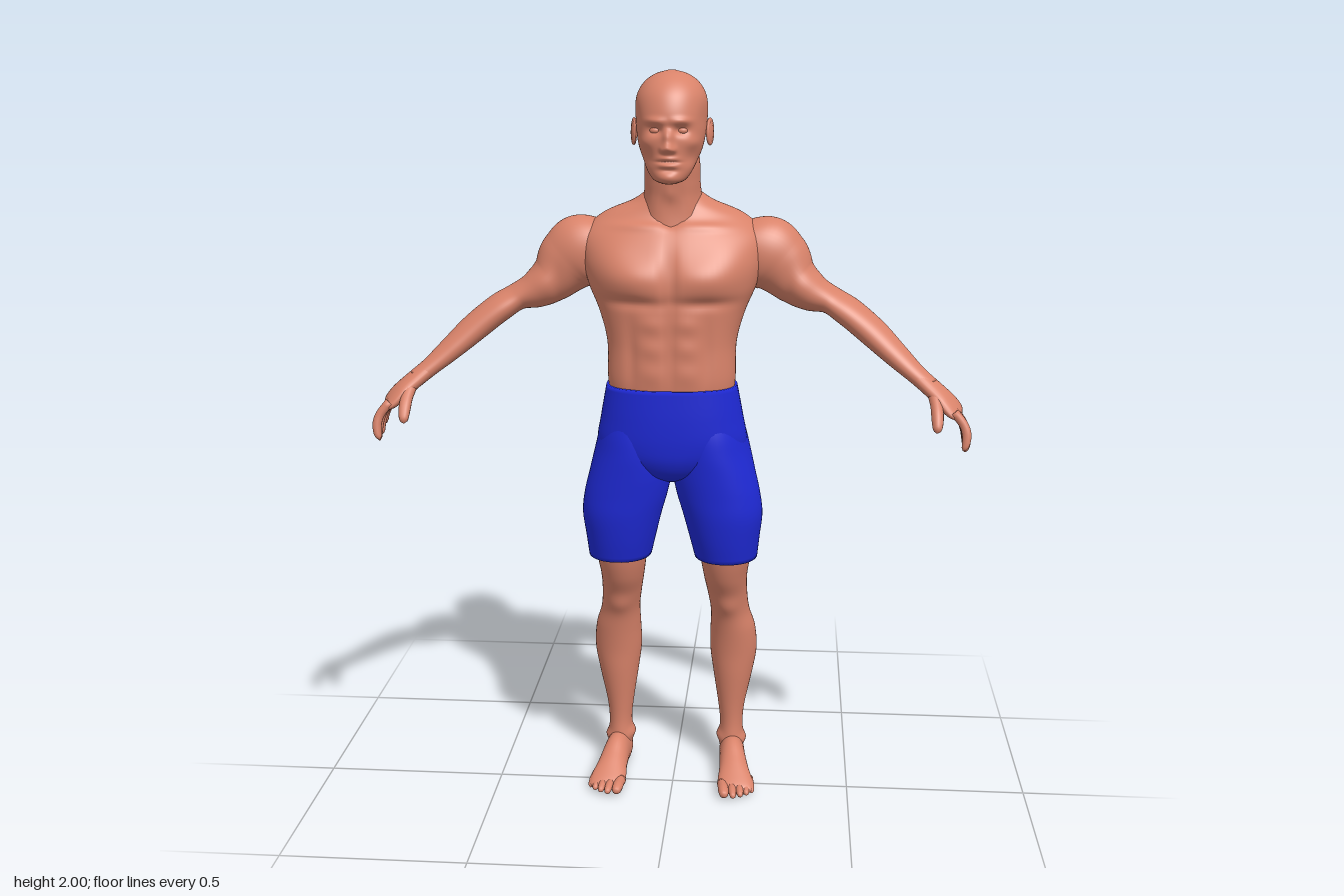
import * as THREE from 'three';

const skin = new THREE.MeshStandardMaterial({ color: 0xd9836a });
const cloth = new THREE.MeshStandardMaterial({ color: 0x1f2ad8 });
const X = new THREE.Vector3(1, 0, 0), Y = new THREE.Vector3(0, 1, 0), Z = new THREE.Vector3(0, 0, 1);

// Smooth skin over oval sections [x, y, z, radiusU, radiusV, power]; U follows ref, V is across it.
// With an axis the sections stay parallel, otherwise they turn with the path.
function loft(rows, { ref = Y, axis = null, steps = 40, sides = 32 } = {}) {
  const curve = (f) => new THREE.CatmullRomCurve3(rows.map(f), false, 'catmullrom', 0.5);
  const path = curve((r) => new THREE.Vector3(r[0], r[1], r[2]));
  const size = curve((r) => new THREE.Vector3(r[3], r[4], r[5] ?? 2));
  const pos = [], index = [];
  for (let i = 0; i <= steps; i++) {
    const t = i / steps, p = path.getPoint(t), s = size.getPoint(t);
    const T = axis ?? path.getTangent(t);
    const U = ref.clone().addScaledVector(T, -ref.dot(T)).normalize();
    const V = T.clone().cross(U);
    for (let j = 0; j < sides; j++) {
      const a = (j / sides) * Math.PI * 2, c = Math.cos(a), d = Math.sin(a);
      const round = (v) => Math.sign(v) * Math.abs(v) ** (2 / s.z);
      const q = p.clone().addScaledVector(U, s.x * round(c)).addScaledVector(V, s.y * round(d));
      pos.push(q.x, q.y, q.z);
      if (i < steps) {
        const k = i * sides + j, n = i * sides + (j + 1) % sides;
        index.push(k, n, k + sides, n, n + sides, k + sides);
      }
    }
  }
  // close both ends
  const first = pos.length / 3, last = steps * sides;
  for (const e of [path.getPoint(0), path.getPoint(1)]) pos.push(e.x, e.y, e.z);
  for (let j = 0; j < sides; j++) {
    const n = (j + 1) % sides;
    index.push(first, n, j, first + 1, last + j, last + n);
  }
  const geo = new THREE.BufferGeometry();
  geo.setAttribute('position', new THREE.Float32BufferAttribute(pos, 3));
  geo.setIndex(index);
  geo.computeVertexNormals();
  return geo;
}

// Upright loft from rows [y, x, front z, back z, half width, power], lowest first
const upright = (rows, opts) => loft(
  rows.map(([y, x, f, b, w, p]) => [x, y, (f + b) / 2, w, (f - b) / 2, p]), { ref: X, axis: Y, ...opts });

// Push vertices along their normals with soft bumps [x, y, z, radiusX, radiusY, amount], same on both sides
function sculpt(geo, bumps) {
  const p = geo.attributes.position, n = geo.attributes.normal;
  for (let i = 0; i < p.count; i++) {
    let push = 0;
    for (const [x, y, z, rx, ry, amount] of bumps) {
      const dx = (Math.abs(p.getX(i)) - x) / rx, dy = (p.getY(i) - y) / ry, dz = (p.getZ(i) - z) / Math.max(rx, ry, 0.05);
      push += amount * Math.exp(-dx * dx - dy * dy - dz * dz);
    }
    p.setXYZ(i, p.getX(i) + n.getX(i) * push, p.getY(i) + n.getY(i) * push, p.getZ(i) + n.getZ(i) * push);
  }
  geo.computeVertexNormals();
  return geo;
}

function mirror(geo) {
  const g = geo.clone().scale(-1, 1, 1), ix = g.index.array;
  for (let i = 0; i < ix.length; i += 3) [ix[i], ix[i + 1]] = [ix[i + 1], ix[i]];
  g.computeVertexNormals();
  return g;
}

// Finger or toe: a tapering path with a rounded tip
function digit(points, r) {
  const [a, b, c] = points.map((q) => new THREE.Vector3(...q));
  const path = new THREE.QuadraticBezierCurve3(a, b.clone().multiplyScalar(2).addScaledVector(a, -0.5).addScaledVector(c, -0.5), c);
  const rows = [[0, 1], [0.3, 0.95], [0.55, 0.98], [0.8, 0.85], [0.93, 0.62], [1, 0.12]].map(([t, k]) => {
    const q = path.getPoint(t);
    return [q.x, q.y, q.z, r * k, r * k];
  });
  return loft(rows, { ref: new THREE.Vector3(0.8, 0.5, 0.1), steps: 16, sides: 12 });
}

export function createModel() {
  const model = new THREE.Group();
  const add = (name, geo, mat = skin) => {
    const m = new THREE.Mesh(geo, mat);
    m.name = name;
    model.add(m);
  };
  const pair = (name, geo, mat) => {
    add('left' + name, geo, mat);
    add('right' + name, mirror(geo), mat);
  };

  // Torso with chest, stomach, shoulder blades and spine
  add('torso', sculpt(upright([
    [1.12, 0, 0.125, -0.08, 0.16, 2.3], [1.2, 0, 0.138, -0.083, 0.17, 2.4], [1.3, 0, 0.14, -0.1, 0.172, 2.4],
    [1.38, 0, 0.142, -0.13, 0.193, 2.4], [1.45, 0, 0.145, -0.148, 0.222, 2.3], [1.52, 0, 0.132, -0.152, 0.24, 2.2],
    [1.58, 0, 0.102, -0.148, 0.24, 2.1], [1.63, 0, 0.062, -0.128, 0.19, 2], [1.665, 0, 0.05, -0.105, 0.11, 2],
    [1.7, 0, 0.04, -0.07, 0.06, 2]], { steps: 90, sides: 96 }), [
    [0.09, 1.475, 0.13, 0.08, 0.045, 0.02], [0.15, 1.52, 0.1, 0.06, 0.05, 0.008], [0.09, 1.415, 0.14, 0.08, 0.016, -0.009],
    [0, 1.48, 0.14, 0.014, 0.07, -0.012], [0, 1.3, 0.14, 0.01, 0.12, -0.006],
    [0.045, 1.36, 0.14, 0.03, 0.022, 0.005], [0.045, 1.295, 0.14, 0.03, 0.024, 0.005], [0.045, 1.23, 0.14, 0.03, 0.026, 0.004],
    [0.1, 1.28, 0.12, 0.016, 0.1, -0.006], [0.08, 1.605, 0.07, 0.07, 0.01, 0.006], [0, 1.625, 0.06, 0.02, 0.02, -0.012],
    [0, 1.4, -0.13, 0.022, 0.2, -0.016], [0.11, 1.52, -0.14, 0.06, 0.06, 0.015], [0.14, 1.42, -0.11, 0.05, 0.07, 0.008],
    [0.05, 1.25, -0.09, 0.03, 0.08, 0.007], [0.1, 1.62, -0.06, 0.05, 0.03, 0.008]]));

  // Neck
  add('neck', sculpt(upright([
    [1.58, 0, 0.075, -0.12, 0.1], [1.64, 0, 0.068, -0.112, 0.088], [1.68, 0, 0.07, -0.09, 0.077],
    [1.72, 0, 0.08, -0.07, 0.073], [1.77, 0, 0.09, -0.064, 0.072], [1.82, 0, 0.08, -0.055, 0.065]]),
  [[0.04, 1.66, 0.06, 0.02, 0.05, 0.006], [0, 1.69, 0.07, 0.014, 0.02, 0.006]]));

  // Head with brow, sockets, nose, lips and chin
  add('head', sculpt(upright([
    [1.722, 0, 0.138, 0.09, 0.02], [1.732, 0, 0.15, 0.06, 0.042], [1.76, 0, 0.152, 0.02, 0.062, 2.1],
    [1.79, 0, 0.153, -0.03, 0.075, 2.1], [1.82, 0, 0.155, -0.06, 0.084, 2.1], [1.86, 0, 0.156, -0.073, 0.091, 2.1],
    [1.9, 0, 0.154, -0.077, 0.094], [1.94, 0, 0.139, -0.07, 0.088], [1.97, 0, 0.113, -0.048, 0.07],
    [1.99, 0, 0.08, -0.018, 0.042], [2, 0, 0.04, 0.022, 0.008]], { steps: 110, sides: 128 }), [
    [0, 1.813, 0.16, 0.012, 0.013, 0.024], [0, 1.838, 0.16, 0.011, 0.018, 0.014], [0.012, 1.808, 0.155, 0.008, 0.008, 0.008],
    [0.034, 1.855, 0.145, 0.019, 0.012, -0.014], [0.03, 1.878, 0.145, 0.024, 0.009, 0.007], [0, 1.862, 0.157, 0.012, 0.01, -0.003],
    [0.055, 1.825, 0.12, 0.022, 0.016, 0.005], [0.055, 1.785, 0.11, 0.02, 0.022, -0.005],
    [0, 1.786, 0.155, 0.02, 0.006, 0.007], [0, 1.768, 0.155, 0.019, 0.006, 0.007], [0, 1.777, 0.155, 0.025, 0.003, -0.007],
    [0, 1.756, 0.153, 0.022, 0.006, -0.005], [0, 1.738, 0.152, 0.022, 0.011, 0.006], [0.085, 1.885, 0.08, 0.02, 0.03, -0.004]]));
  const eye = new THREE.SphereGeometry(0.0125, 20, 14).scale(1.2, 0.8, 1).translate(0.034, 1.854, 0.129);
  pair('Eye', eye);

  // Ears: a shell with a raised rim
  const tilt = (g) => g.rotateY(Math.PI / 2 - 0.35).rotateX(-0.15).translate(0.098, 1.846, 0.026);
  pair('Ear', tilt(new THREE.SphereGeometry(0.02, 20, 14).scale(0.85, 1.5, 0.35)));
  pair('EarRim', tilt(new THREE.TorusGeometry(0.017, 0.0045, 8, 28).scale(0.95, 1.65, 1)));

  // Shoulder, upper arm and forearm
  pair('Arm', sculpt(loft([
    [0.16, 1.55, -0.04, 0.06, 0.075], [0.235, 1.53, -0.038, 0.098, 0.085], [0.28, 1.502, -0.038, 0.09, 0.08],
    [0.325, 1.455, -0.035, 0.066, 0.072], [0.37, 1.425, -0.03, 0.051, 0.068], [0.42, 1.405, -0.024, 0.036, 0.062],
    [0.47, 1.375, -0.008, 0.037, 0.061], [0.53, 1.328, 0.015, 0.036, 0.054], [0.59, 1.275, 0.045, 0.03, 0.044],
    [0.64, 1.232, 0.072, 0.024, 0.035], [0.68, 1.2, 0.09, 0.023, 0.034]], { steps: 80, sides: 48 }), [
    [0.34, 1.45, 0.03, 0.035, 0.035, 0.007], [0.34, 1.42, -0.09, 0.04, 0.04, 0.006], [0.305, 1.45, 0.03, 0.015, 0.05, -0.004]]));

  // Hand: palm, four curled fingers and thumb
  pair('Palm', loft([
    [0.65, 1.224, 0.077, 0.022, 0.033], [0.69, 1.192, 0.096, 0.022, 0.04], [0.72, 1.166, 0.108, 0.021, 0.049],
    [0.745, 1.14, 0.118, 0.016, 0.05], [0.757, 1.125, 0.121, 0.006, 0.04]], { sides: 28 }));
  const fingers = {
    Index: [0.155, 0.762, 1.052, 0.178], Middle: [0.131, 0.77, 1.042, 0.15],
    Ring: [0.107, 0.77, 1.052, 0.118], Little: [0.084, 0.766, 1.075, 0.082] };
  for (const [name, [z, x, y, tipZ]] of Object.entries(fingers)) {
    pair(name + 'Finger', digit([[0.738, 1.148, z], [0.769, 1.1, (z + tipZ) / 2], [x, y, tipZ]], name === 'Little' ? 0.011 : 0.0125));
  }
  pair('Thumb', digit([[0.687, 1.187, 0.115], [0.694, 1.145, 0.162], [0.692, 1.102, 0.195]], 0.0165));

  // Shorts: waist and two legs
  add('shortsWaist', upright([
    [0.915, 0, 0.05, -0.04, 0.04], [0.94, 0, 0.1, -0.075, 0.12], [0.98, 0, 0.127, -0.1, 0.185], [1.03, 0, 0.138, -0.11, 0.202, 2.2],
    [1.1, 0, 0.143, -0.105, 0.191, 2.3], [1.185, 0, 0.144, -0.089, 0.175, 2.4]], { sides: 64 }), cloth);
  pair('ShortsLeg', upright([
    [0.69, 0.147, 0.08, -0.117, 0.087, 2.1], [0.75, 0.143, 0.096, -0.11, 0.097, 2.1], [0.82, 0.138, 0.11, -0.097, 0.109, 2.1],
    [0.88, 0.126, 0.116, -0.093, 0.114, 2.1], [0.94, 0.113, 0.122, -0.112, 0.113, 2.1], [1.0, 0.104, 0.127, -0.135, 0.108],
    [1.06, 0.098, 0.126, -0.13, 0.099], [1.12, 0.09, 0.115, -0.103, 0.085], [1.16, 0.085, 0.09, -0.07, 0.06]], { sides: 48 }), cloth);

  // Lower leg with knee, shin and calf
  pair('Leg', sculpt(upright([
    [0.03, 0.165, -0.09, -0.175, 0.03], [0.08, 0.163, -0.083, -0.178, 0.036], [0.14, 0.163, -0.085, -0.17, 0.033],
    [0.2, 0.163, -0.08, -0.175, 0.039], [0.3, 0.166, -0.066, -0.194, 0.057], [0.37, 0.167, -0.058, -0.201, 0.067],
    [0.44, 0.165, -0.045, -0.191, 0.064], [0.5, 0.157, -0.03, -0.175, 0.055], [0.56, 0.15, -0.006, -0.153, 0.056],
    [0.62, 0.145, 0.028, -0.132, 0.061], [0.69, 0.145, 0.052, -0.112, 0.07], [0.76, 0.145, 0.06, -0.1, 0.07]],
  { steps: 80, sides: 40 }), [
    [0.152, 0.53, -0.015, 0.028, 0.028, 0.007], [0.15, 0.5, -0.17, 0.02, 0.04, -0.007], [0.165, 0.36, -0.2, 0.012, 0.06, -0.005],
    [0.128, 0.095, -0.125, 0.014, 0.014, 0.008], [0.198, 0.085, -0.13, 0.014, 0.014, 0.008]]));

  // Foot flattened on the ground, with five toes
  const foot = loft([
    [0.163, 0.035, -0.186, 0.008, 0.012], [0.163, 0.037, -0.174, 0.028, 0.036], [0.165, 0.044, -0.13, 0.036, 0.052],
    [0.169, 0.05, -0.07, 0.037, 0.056], [0.176, 0.038, -0.01, 0.042, 0.04], [0.182, 0.024, 0.04, 0.05, 0.026],
    [0.185, 0.016, 0.07, 0.046, 0.016], [0.186, 0.013, 0.082, 0.03, 0.008]], { ref: X, axis: Z });
  const fp = foot.attributes.position;
  for (let i = 0; i < fp.count; i++) fp.setY(i, Math.max(fp.getY(i), 0));
  foot.computeVertexNormals();
  pair('Foot', foot);
  [[0.15, 0.112, 0.0155], [0.175, 0.112, 0.0115], [0.195, 0.103, 0.011], [0.212, 0.09, 0.0105], [0.226, 0.074, 0.01]].forEach(([x, tip, r], i) => {
    pair('Toe' + (i + 1), digit([[x - 0.004, 0.021, tip - 0.065], [x, 0.02, tip - 0.03], [x + 0.004, r * 0.8, tip]], r));
  });

  return model;
}
